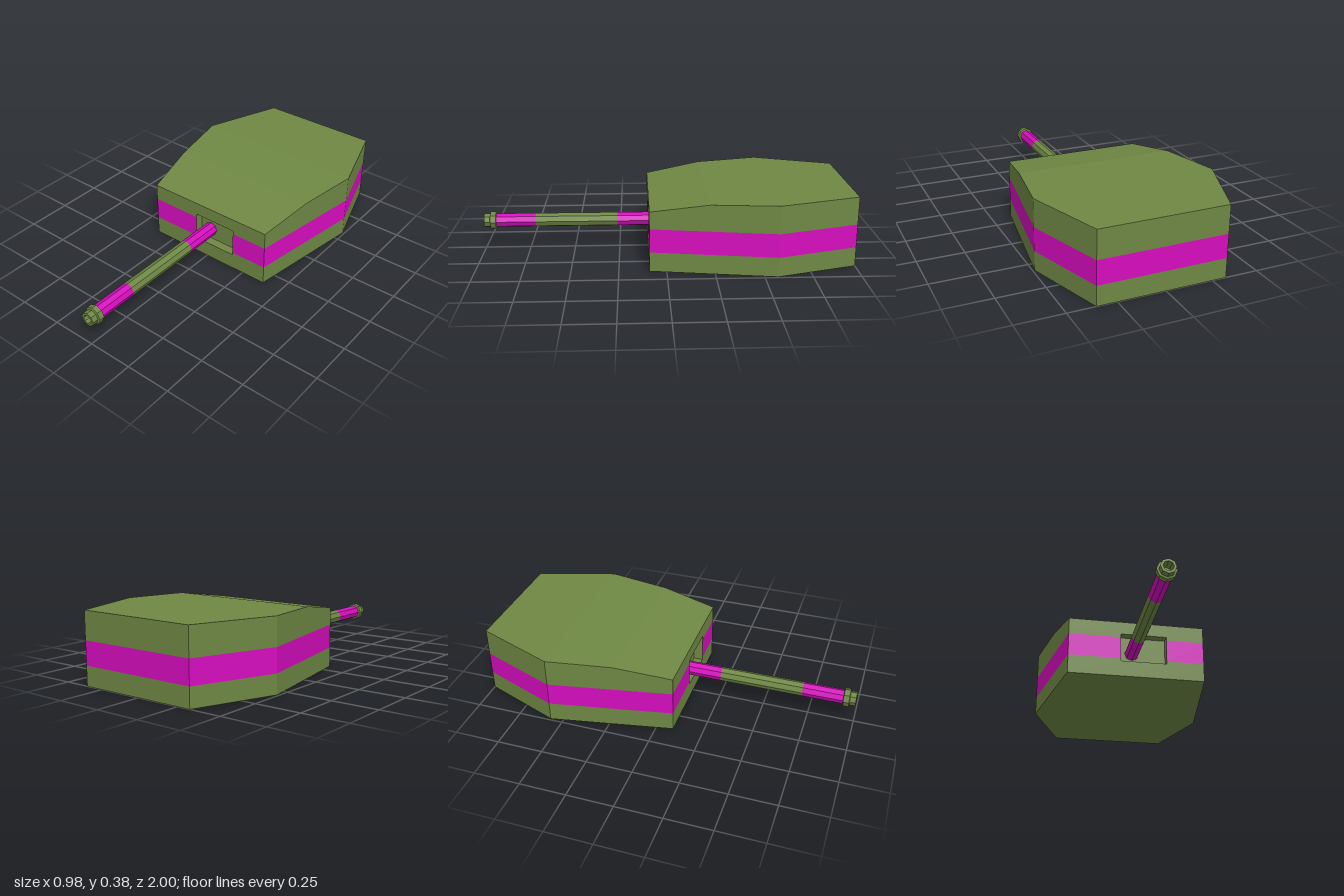
import * as THREE from 'three';

const olive = new THREE.MeshStandardMaterial({ color: 0x6f8844, flatShading: true });
const magenta = new THREE.MeshStandardMaterial({ color: 0xd60dbe, flatShading: true });

// Mesh from flat quads, each with corners counter-clockwise from outside
function quadMesh(name, quads, material) {
  const pos = [];
  for (const [a, b, c, d] of quads) pos.push(...a, ...b, ...c, ...a, ...c, ...d);
  const geo = new THREE.BufferGeometry();
  geo.setAttribute('position', new THREE.Float32BufferAttribute(pos, 3));
  geo.computeVertexNormals();
  const mesh = new THREE.Mesh(geo, material);
  mesh.name = name;
  return mesh;
}

// Eight-sided turned part along +z; profile is [radius, z] pairs
function turned(name, profile, material) {
  const geo = new THREE.LatheGeometry(profile.map(([r, z]) => new THREE.Vector2(r, z)), 8);
  geo.rotateX(Math.PI / 2);
  const mesh = new THREE.Mesh(geo, material);
  mesh.name = name;
  return mesh;
}

export function createModel() {
  const model = new THREE.Group();
  model.name = 'turret';

  // Turret stations from front to back: z, right x, left x, roof height
  const stations = [
    [0.09, -0.365, 0.39, 0.325],
    [-0.22, -0.424, 0.437, 0.374],
    [-0.57, -0.49, 0.49, 0.381],
    [-1, -0.325, 0.355, 0.382],
  ];
  const bandLow = 0.105, bandHigh = 0.232;
  const shell = [], band = [];
  const levels = (top) => [0, bandLow, bandHigh, top];

  // Side walls, roof and floor between stations
  for (let i = 0; i < stations.length - 1; i++) {
    const [z0, r0, l0, t0] = stations[i], [z1, r1, l1, t1] = stations[i + 1];
    const a = levels(t0), b = levels(t1);
    for (let k = 0; k < 3; k++) {
      const list = k === 1 ? band : shell;
      list.push([[l0, a[k], z0], [l1, b[k], z1], [l1, b[k + 1], z1], [l0, a[k + 1], z0]]);
      list.push([[r1, b[k], z1], [r0, a[k], z0], [r0, a[k + 1], z0], [r1, b[k + 1], z1]]);
    }
    shell.push([[r0, t0, z0], [l0, t0, z0], [l1, t1, z1], [r1, t1, z1]]);
    shell.push([[r1, 0, z1], [l1, 0, z1], [l0, 0, z0], [r0, 0, z0]]);
  }

  // Back wall
  const [zb, rb, lb, tb] = stations[3], back = levels(tb);
  for (let k = 0; k < 3; k++) {
    (k === 1 ? band : shell).push(
      [[lb, back[k], zb], [rb, back[k], zb], [rb, back[k + 1], zb], [lb, back[k + 1], zb]]);
  }

  // Front wall, laid out as cells around the gun opening
  const [zf, rf, lf, tf] = stations[0];
  const x0 = -0.075, x1 = 0.18, y0 = 0.09, y1 = 0.252, zr = 0.04;
  const xs = [rf, x0, x1, lf], ys = [0, y0, bandLow, bandHigh, y1, tf];
  for (let i = 0; i < 3; i++) {
    for (let k = 0; k < 5; k++) {
      if (i === 1 && k > 0 && k < 4) continue;
      (k === 2 ? band : shell).push(
        [[xs[i], ys[k], zf], [xs[i + 1], ys[k], zf], [xs[i + 1], ys[k + 1], zf], [xs[i], ys[k + 1], zf]]);
    }
  }

  // Recess behind the gun opening
  const recess = [
    [[x0, y0, zr], [x1, y0, zr], [x1, y1, zr], [x0, y1, zr]],
    [[x0, y0, zf], [x1, y0, zf], [x1, y0, zr], [x0, y0, zr]],
    [[x0, y1, zr], [x1, y1, zr], [x1, y1, zf], [x0, y1, zf]],
    [[x0, y0, zf], [x0, y0, zr], [x0, y1, zr], [x0, y1, zf]],
    [[x1, y0, zr], [x1, y0, zf], [x1, y1, zf], [x1, y1, zr]],
  ];
  model.add(
    quadMesh('turretShell', shell, olive),
    quadMesh('turretBand', band, magenta),
    quadMesh('gunRecess', recess, olive),
  );

  // Gun barrel with painted sections, collar and hollow muzzle
  const gun = new THREE.Group();
  gun.name = 'gun';
  gun.position.set(-0.008, 0.157, 0);
  const r = 0.039;
  gun.add(
    turned('barrelBase', [[r, zr], [r, 0.26]], magenta),
    turned('barrelMiddle', [[r, 0.26], [r, 0.715]], olive),
    turned('barrelTip', [[r, 0.715], [r, 0.935]], magenta),
    turned('muzzleCollar', [[r, 0.932], [0.05, 0.935], [0.05, 0.965], [r, 0.968]], olive),
    turned('muzzle', [[r, 0.96], [r, 1], [0.026, 1], [0.026, 0.94], [0, 0.94]], olive),
  );
  model.add(gun);
  return model;
}
